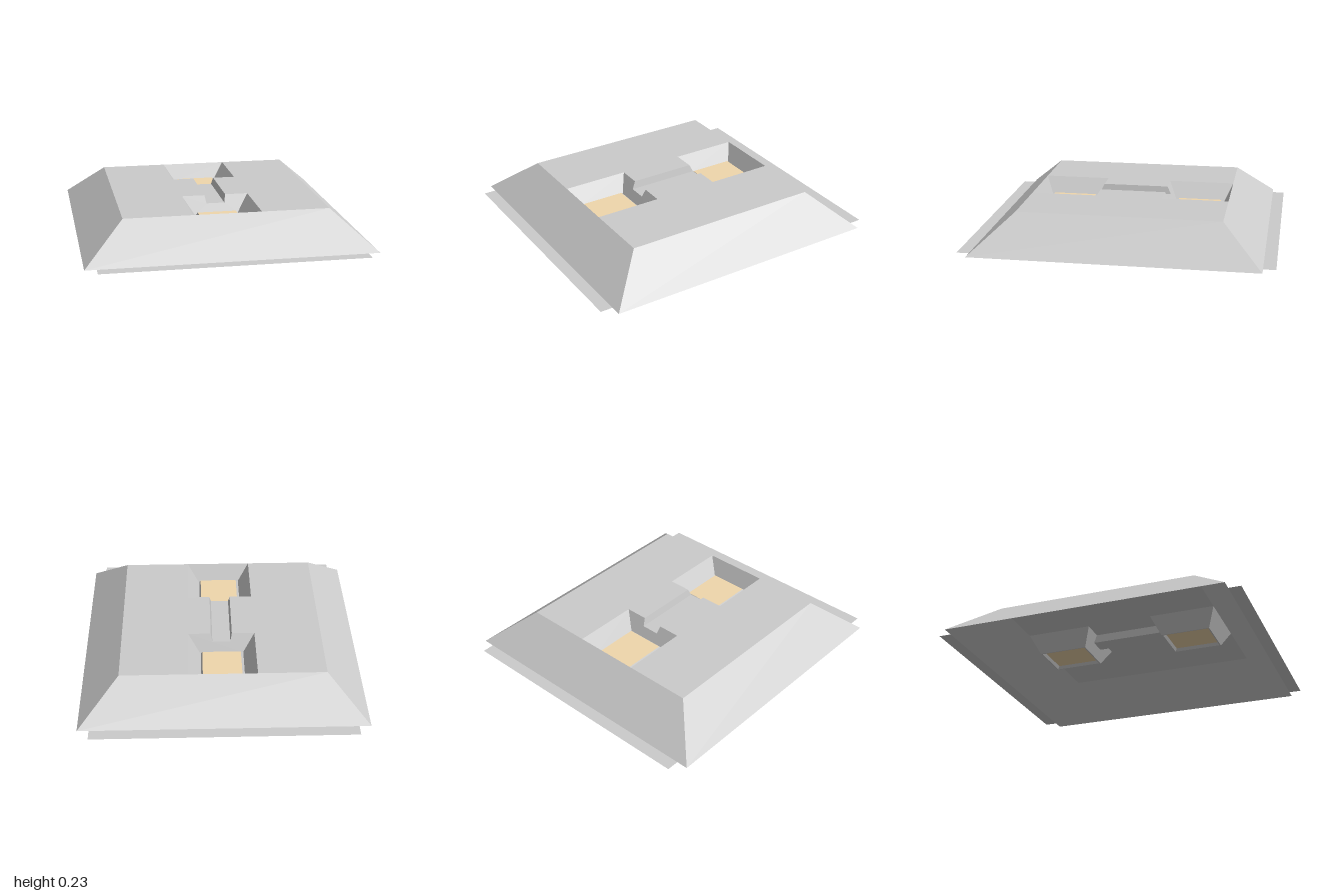
import * as THREE from 'three';

const H = 0.23;          // deck height
const FLOOR = H - 0.115; // pit floor
const PAD = H - 0.095;   // top of the raised pad
const SLOT = H - 0.05;   // channel floor

// Rectangle corners, counter-clockwise seen from above
const rect = (x0, x1, z0, z1, y) => [[x0, y, z1], [x1, y, z1], [x1, y, z0], [x0, y, z0]];

// Four faces joining an outer rectangle to an inner one
const ring = (outer, inner) => outer.map((p, i) => {
  const j = (i + 1) % 4;
  return [p, outer[j], inner[j], inner[i]];
});

function sheet(name, quads, color = 0xcccccc) {
  const positions = quads.flatMap(([a, b, c, d]) => [a, b, c, a, c, d].flat());
  const geometry = new THREE.BufferGeometry();
  geometry.setAttribute('position', new THREE.Float32BufferAttribute(positions, 3));
  geometry.computeVertexNormals();
  const material = new THREE.MeshStandardMaterial({ color, flatShading: true, side: THREE.DoubleSide });
  const mesh = new THREE.Mesh(geometry, material);
  mesh.name = name;
  return mesh;
}

// One end: sunken pit with a raised pad, plus the ground flap
function createEnd(name) {
  const end = new THREE.Group();
  end.name = name;

  const rim = rect(-0.22, 0.22, 0.22, 0.66, H);
  const foot = rect(-0.145, 0.145, 0.275, 0.605, FLOOR);
  const padBase = rect(-0.138, 0.138, 0.284, 0.597, FLOOR);
  const padTop = rect(-0.128, 0.128, 0.295, 0.586, PAD);

  // The inner wall is notched where the channel enters
  const [front, right, , left] = ring(rim, foot);
  const zSlot = 0.244;
  const notch = [[-0.07, H, 0.22], [-0.06, SLOT, zSlot], [0.06, SLOT, zSlot], [0.07, H, 0.22]];
  const innerWall = [
    [rim[3], foot[3], notch[1], notch[0]],
    [notch[1], foot[3], foot[2], notch[2]],
    [notch[2], foot[2], rim[2], notch[3]],
  ];
  end.add(sheet('pitWalls', [front, right, left, ...innerWall]));
  end.add(sheet('pitFloorBorder', ring(foot, padBase)));
  end.add(sheet('padBevel', ring(padBase, padTop)));
  end.add(sheet('pad', [padTop], 0xf0d7ac));
  end.add(sheet('groundFlap', [rect(-0.845, 0.845, 0.92, 1, 0)]));
  return end;
}

export function createModel() {
  const model = new THREE.Group();
  model.name = 'slopedPlatform';

  // Hollow sloped body
  model.add(sheet('slopedSides', ring(
    rect(-0.92, 0.92, -0.92, 0.92, 0),
    rect(-0.66, 0.66, -0.66, 0.66, H))));

  // Deck around the pits and the channel
  model.add(sheet('deck', [
    rect(-0.66, -0.22, -0.66, 0.66, H),
    rect(0.22, 0.66, -0.66, 0.66, H),
    rect(-0.22, -0.07, -0.22, 0.22, H),
    rect(0.07, 0.22, -0.22, 0.22, H),
  ]));

  // Shallow channel linking the pits; its open ends meet the pit walls
  const slotFloor = rect(-0.06, 0.06, -0.244, 0.244, SLOT);
  const [, slotRight, , slotLeft] = ring(rect(-0.07, 0.07, -0.22, 0.22, H), slotFloor);
  model.add(sheet('channel', [slotFloor, slotRight, slotLeft]));

  const back = createEnd('backEnd');
  back.rotation.y = Math.PI;
  model.add(createEnd('frontEnd'), back);
  return model;
}
